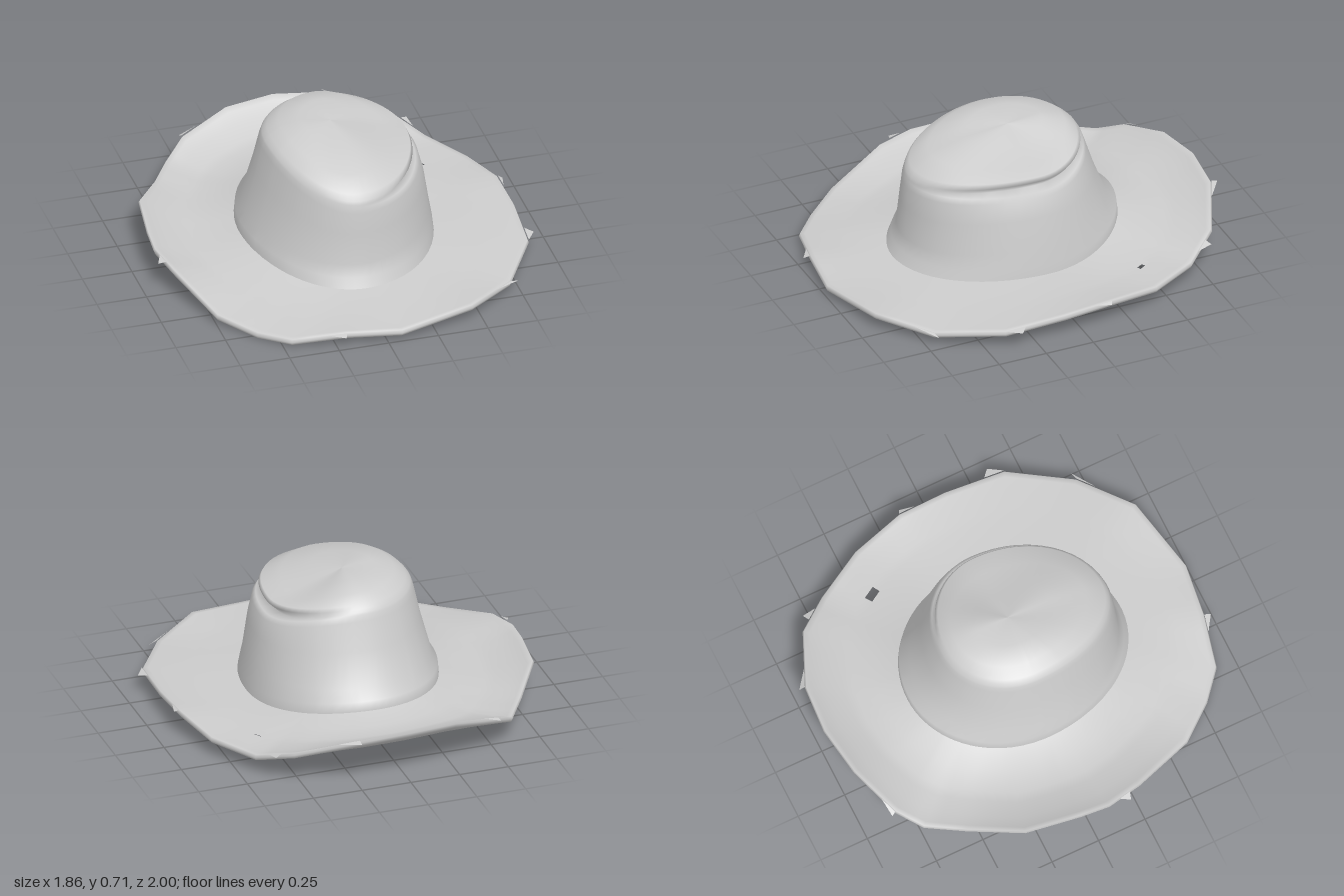
import * as THREE from 'three';

// brim outline: x, y, z, anticlockwise from the front towards +x
const RIM = [
  [0.07, 0.06, 0.995], [0.45, 0.09, 0.91], [0.7, 0.07, 0.71], [0.88, 0.1, 0.41], [0.9, 0.125, 0.1],
  [0.89, 0.14, -0.15], [0.82, 0.11, -0.42], [0.68, 0.11, -0.67], [0.54, 0.18, -0.84], [0.25, 0.26, -0.97],
  [0, 0.28, -0.99], [-0.25, 0.27, -0.95], [-0.5, 0.2, -0.85], [-0.61, 0.14, -0.75], [-0.72, 0.145, -0.57],
  [-0.87, 0.2, -0.33], [-0.91, 0.19, -0.05], [-0.92, 0.18, 0.1], [-0.88, 0.16, 0.28], [-0.75, 0.06, 0.6],
  [-0.6, 0.035, 0.78], [-0.46, 0.04, 0.9], [-0.2, 0.07, 0.96],
].map((p) => new THREE.Vector3(...p));

// crown rings: extents front, left, back, right, then heights front, left, back, right
const CROWN = [
  [0.61, 0.49, 0.54, 0.46, 0.09, 0.11, 0.18, 0.14],
  [0.585, 0.485, 0.535, 0.455, 0.14, 0.16, 0.23, 0.2],
  [0.56, 0.47, 0.48, 0.43, 0.2, 0.25, 0.27, 0.24],
  [0.55, 0.445, 0.415, 0.375, 0.36, 0.41, 0.44, 0.45],
  [0.54, 0.42, 0.37, 0.345, 0.47, 0.505, 0.58, 0.59],
  [0.533, 0.4, 0.36, 0.335, 0.5, 0.525, 0.61, 0.62],
  [0.53, 0.34, 0.353, 0.329, 0.512, 0.53, 0.62, 0.63], // groove under the cap, deep on the left
  [0.525, 0.385, 0.345, 0.32, 0.53, 0.575, 0.635, 0.64], // cap lip
  [0.505, 0.375, 0.33, 0.305, 0.56, 0.595, 0.65, 0.655],
  [0.41, 0.28, 0.28, 0.25, 0.62, 0.605, 0.69, 0.69],
  [0.23, 0.15, 0.17, 0.15, 0.667, 0.645, 0.71, 0.71],
  [0, 0, 0, 0, 0.69, 0.69, 0.69, 0.69],
];

// straight chords between outline points, three steps each
const STEPS = 3;
const rim = RIM.flatMap((p, i) => Array.from({ length: STEPS },
  (_, k) => p.clone().lerp(RIM[(i + 1) % RIM.length], k / STEPS)));
const angles = rim.map((p) => Math.atan2(p.x, p.z));

// blend four values (front, left, back, right) around the hat
function around(a, [f, l, b, r]) {
  const c = Math.cos(a), s = Math.sin(a);
  return c * c * (c > 0 ? f : b) + s * s * (s > 0 ? l : r);
}

function crownRing([f, l, b, r, ...heights]) {
  return angles.map((a) => {
    const c = Math.cos(a), s = Math.sin(a);
    return new THREE.Vector3(s * (s > 0 ? l : r), around(a, heights), c * (c > 0 ? f : b));
  });
}

// skin a stack of closed rings; skip(i, j) leaves a quad out
function loft(rings, skip = () => false) {
  const n = angles.length, index = [];
  for (let i = 0; i < rings.length - 1; i++) {
    for (let j = 0; j < n; j++) {
      if (skip(i, j)) continue;
      const k = (j + 1) % n;
      const a = i * n + j, b = i * n + k, c = a + n, d = b + n;
      index.push(a, b, d, a, d, c);
    }
  }
  const g = new THREE.BufferGeometry().setFromPoints(rings.flat());
  g.setIndex(index);
  g.computeVertexNormals();
  return g;
}

// brim surface between the crown base (t = 0) and the outline (t = 1)
const base = crownRing(CROWN[0]);
function brimRing(t, drop) {
  return rim.map((p, j) => {
    const q = base[j].clone().lerp(p, t);
    const sag = around(angles[j], [0.07, 0.1, 0.09, 0.05]);
    q.y = (1 - t) ** 2 * base[j].y + 2 * t * (1 - t) * sag + t * t * p.y - drop;
    return q;
  });
}

// underside, with a low bulge at the front right close to the crown
function underRing(t) {
  const ring = brimRing(t, 0.03);
  ring.forEach((p) => {
    p.y -= 0.05 * Math.exp(-((p.x + 0.38) ** 2 + (p.z - 0.52) ** 2) / 0.03);
  });
  return ring;
}

// shallow ceiling under the crown: s scales the opening, fall goes from its top (0) to the brim (1)
const opening = underRing(0);
function recessRing([s, fall]) {
  return opening.map((p) => new THREE.Vector3(
    p.x * s, THREE.MathUtils.lerp(0.2, p.y, fall), p.z * s));
}

// small torn points along the brim edge
function frayGeometry() {
  const tips = [[-0.51, -0.87], [0.25, -1.0], [0.62, -0.8], [0.91, -0.14], [0.925, 0.34],
    [0.74, 0.7], [-0.21, 0.99], [-0.93, 0.21]];
  const pts = tips.flatMap(([x, z]) => {
    let k = 0;
    rim.forEach((p, j) => {
      if (Math.hypot(p.x - x, p.z - z) < Math.hypot(rim[k].x - x, rim[k].z - z)) k = j;
    });
    const n = rim.length;
    return [rim[(k + n - 1) % n], new THREE.Vector3(x, rim[k].y - 0.01, z), rim[k]];
  });
  const g = new THREE.BufferGeometry().setFromPoints(pts);
  g.computeVertexNormals();
  return g;
}

export function createModel() {
  const felt = new THREE.MeshStandardMaterial({ color: 0xcccccc, side: THREE.DoubleSide });
  felt.name = 'grey felt';
  const hat = new THREE.Group();
  hat.name = 'hat';
  const add = (name, geometry) => {
    const mesh = new THREE.Mesh(geometry, felt);
    mesh.name = name;
    hat.add(mesh);
  };

  // brim: ceiling and underside outwards, rolled edge, top side inwards, with one small hole
  const recess = [[0, 0], [0.4, 0.04], [0.7, 0.15], [0.86, 0.4], [0.95, 0.8]].map(recessRing);
  const ts = [0, 0.25, 0.49, 0.6, 0.8, 0.93, 0.985];
  const under = ts.map(underRing);
  const edge = brimRing(1, 0.015);
  const top = ts.map((t) => brimRing(t, 0)).reverse();
  const rings = [...recess, ...under, edge, ...top];
  const holeSegment = 6 * STEPS + 1;
  const holeBands = [recess.length + 2, rings.length - 4];
  add('brim', loft(rings, (i, j) => j === holeSegment && holeBands.includes(i)));
  add('frayedEdge', frayGeometry());

  // crown with its tilted cap
  add('crown', loft(CROWN.map(crownRing)));
  return hat;
}
